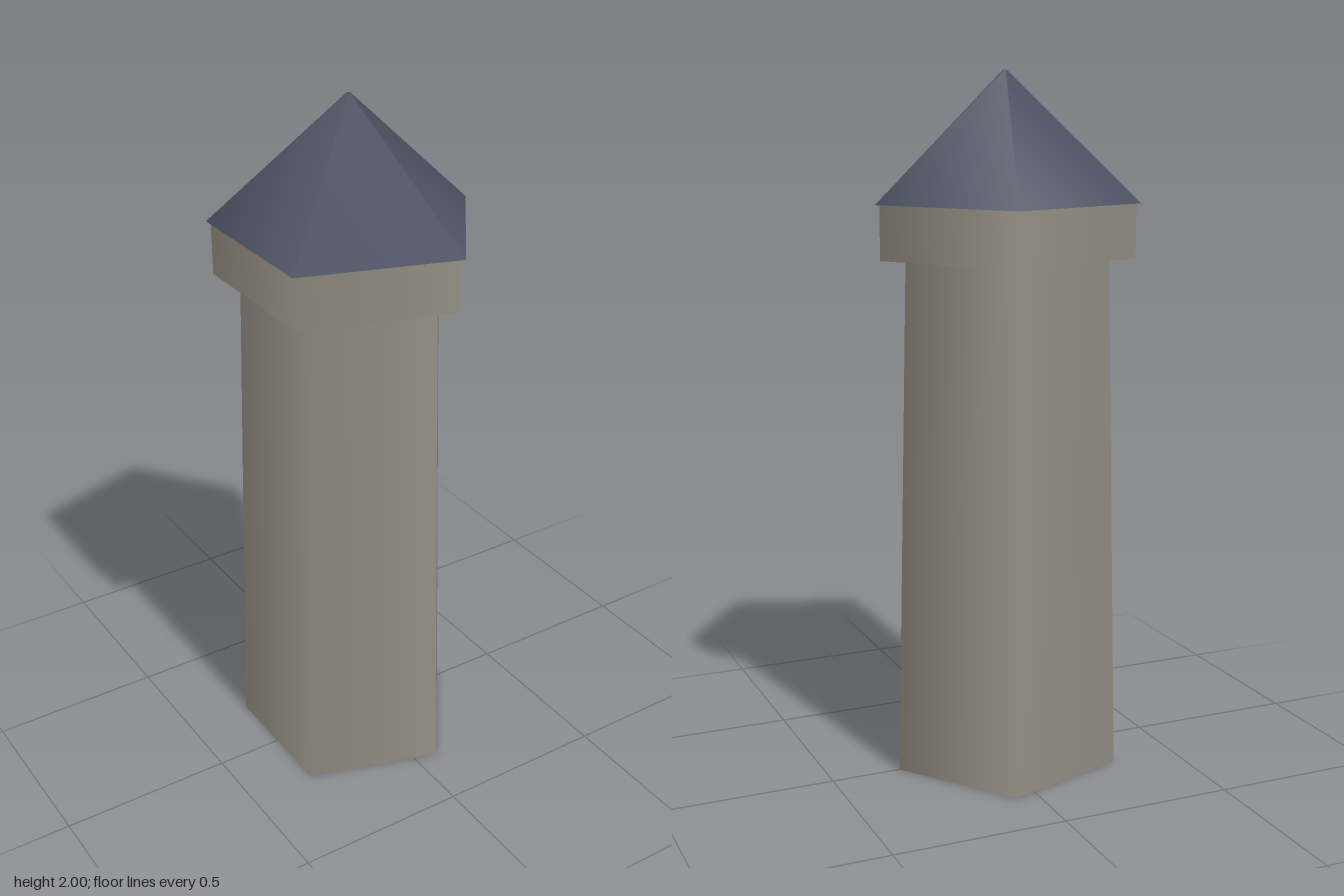
import * as THREE from 'three';

export function createModel() {
  const stone = new THREE.MeshStandardMaterial({ color: 0x958f84 });
  stone.name = 'stone';
  const slate = new THREE.MeshStandardMaterial({ color: 0x4a5061 });
  slate.name = 'slate';

  const tower = new THREE.Group();
  tower.name = 'tower';

  // Five-sided section with smooth side normals and one corner towards +x
  const addSection = (name, material, topRadius, bottomRadius, y0, y1) => {
    const geometry = new THREE.CylinderGeometry(
      topRadius, bottomRadius, y1 - y0, 5, 1, false, Math.PI / 2);
    const mesh = new THREE.Mesh(geometry, material);
    mesh.name = name;
    // The pentagon's axis sits left of centre so its bounds are centred
    mesh.position.set(-0.037, (y0 + y1) / 2, 0);
    tower.add(mesh);
  };

  addSection('shaft', stone, 0.297, 0.333, 0, 1.49);
  addSection('parapet', stone, 0.371, 0.371, 1.488, 1.64);
  addSection('roof', slate, 0.005, 0.384, 1.64, 2);

  return tower;
}
